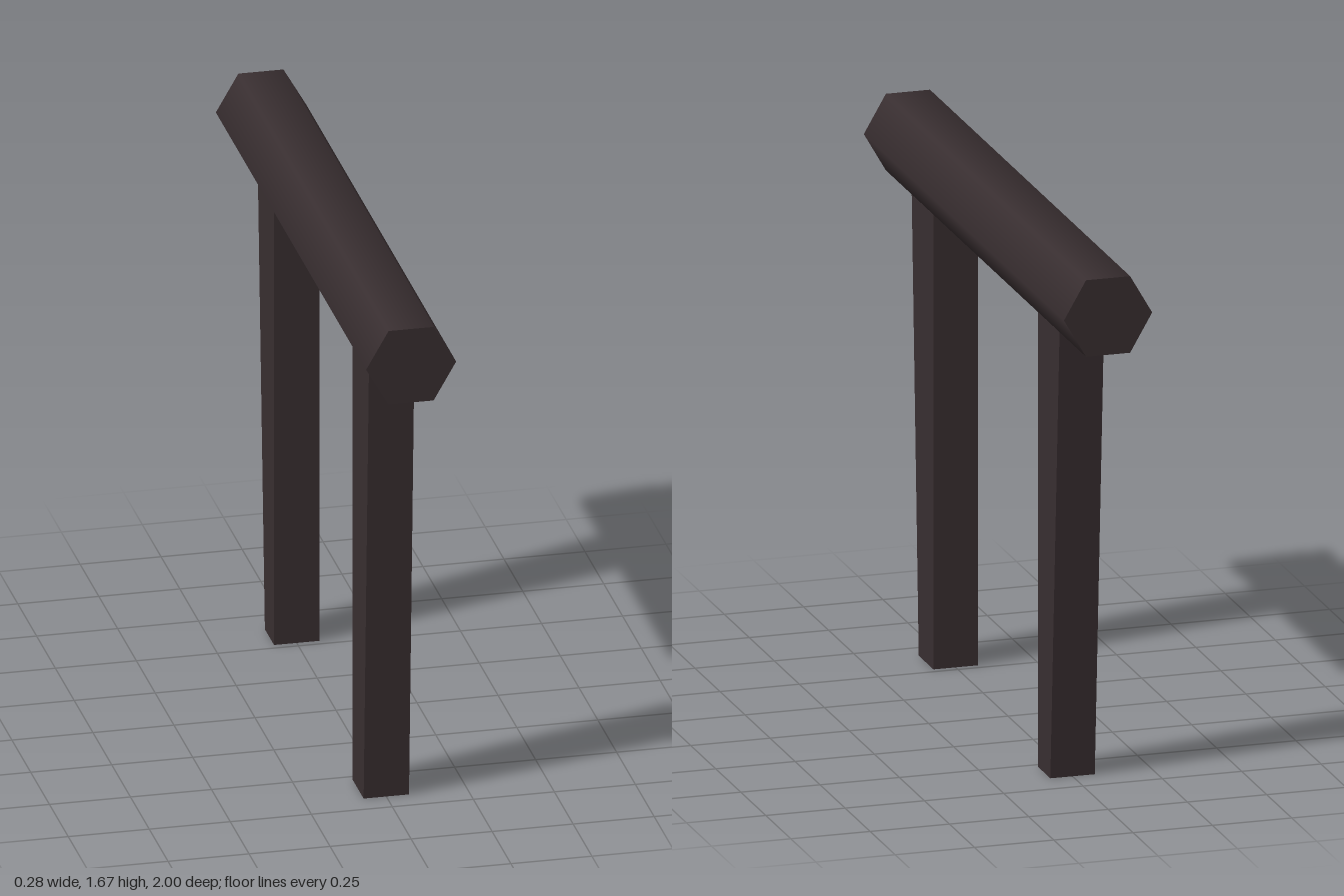
import * as THREE from 'three';

export function createModel() {
  const group = new THREE.Group();
  const darkWood = new THREE.MeshStandardMaterial({ color: 0x382e30 });
  darkWood.name = 'darkWood';

  // Hexagonal rail with smooth-shaded sides, lying along z
  const railGeometry = new THREE.CylinderGeometry(0.139, 0.139, 2, 6, 1, false, Math.PI / 6);
  railGeometry.rotateX(Math.PI / 2);
  const rail = new THREE.Mesh(railGeometry, darkWood);
  rail.name = 'rail';
  rail.position.y = 1.55;
  group.add(rail);

  // Post with a straight inner face and an outer face that widens upwards
  function addPost(name, inner, outerBottom, outerTop) {
    const profile = new THREE.Shape([
      new THREE.Vector2(inner, 0),
      new THREE.Vector2(outerBottom, 0),
      new THREE.Vector2(outerTop, 1.43),
      new THREE.Vector2(inner, 1.43),
    ]);
    const geometry = new THREE.ExtrudeGeometry(profile, { depth: 0.14, bevelEnabled: false });
    geometry.translate(0, 0, -0.07);
    geometry.rotateY(-Math.PI / 2);
    const post = new THREE.Mesh(geometry, darkWood);
    post.name = name;
    group.add(post);
  }
  addPost('frontPost', 0.523, 0.67, 0.74);
  addPost('backPost', -0.523, -0.645, -0.737);

  return group;
}
